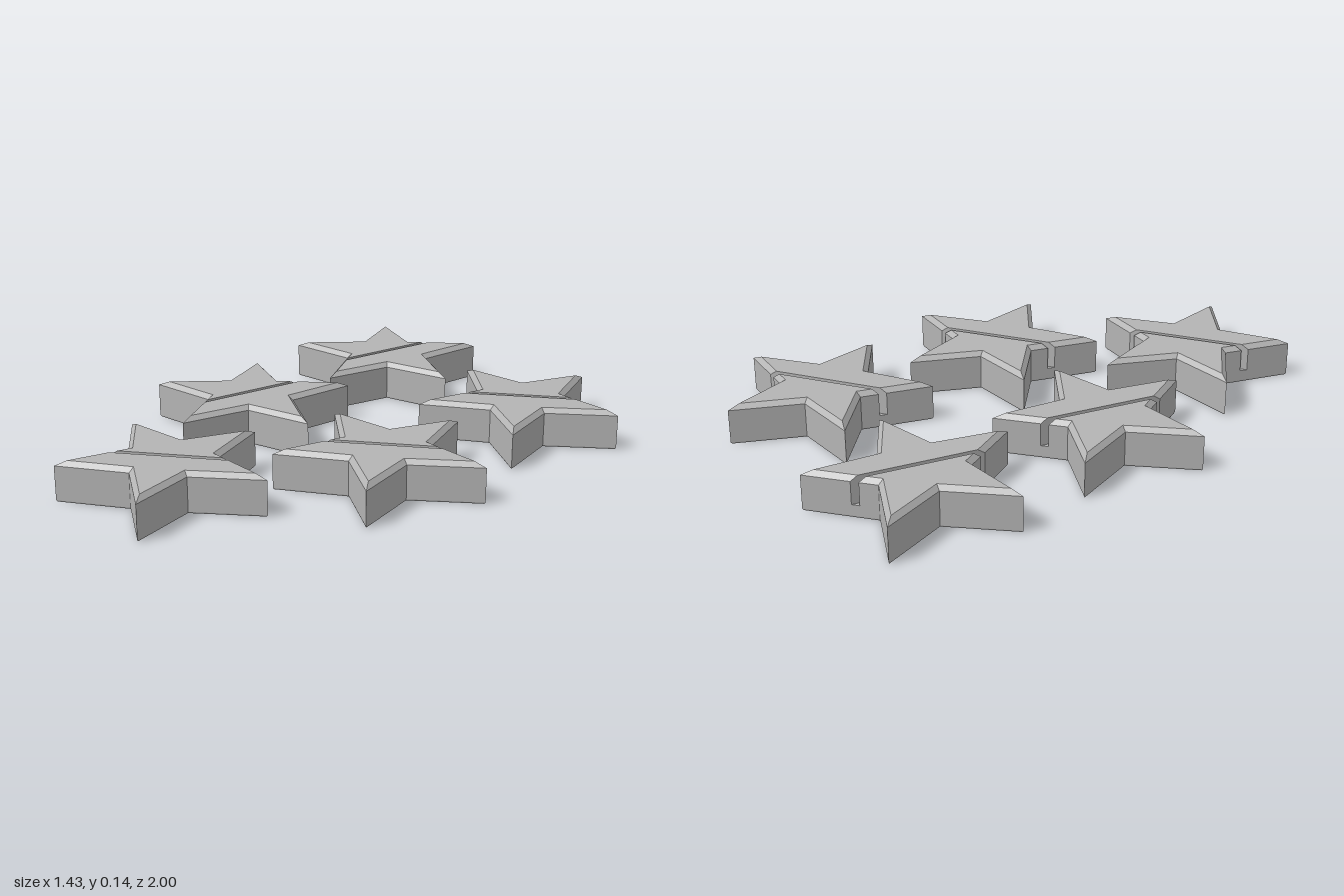
import * as THREE from 'three';

const R = 0.379, r = 0.166;            // tip and inner radius of each star
const H = 0.145, SHOULDER = 0.128;     // top and start of the top chamfer
const FLOOR = 0.045, W = 0.009;        // groove floor height and half width
const TOP_SCALE = 0.884;               // shrink of the chamfered top face

const rad = THREE.MathUtils.degToRad;

// Corner of the star at an angle: even steps of 36 degrees are tips, odd are inner corners
function corner(step, k) {
  const radius = k * (step % 2 === 0 ? R : r), a = rad(36 * step);
  return new THREE.Vector2(radius * Math.cos(a), radius * Math.sin(a));
}

// Point where the groove wall at u = s meets the outline
function cut(s, k, side) {
  const tip = corner(2, k), inner = corner(3, k);
  const p = tip.clone().lerp(inner, (s - tip.x) / (inner.x - tip.x));
  return new THREE.Vector2(s, p.y * side);
}

const steps = (from, to, k) =>
  Array.from({ length: to - from + 1 }, (_, i) => corner(from + i, k));

// Outlines, counter-clockwise from above, at scale k
const whole = (k) => steps(0, 9, k);
const tipHalf = (k) => [cut(W, k, -1), ...steps(-2, 2, k), cut(W, k, 1)];
const backHalf = (k) => [cut(-W, k, 1), ...steps(3, 7, k), cut(-W, k, -1)];
const strip = (k) => [cut(W, k, 1), cut(-W, k, 1), cut(-W, k, -1), cut(W, k, -1)];

// Flat-faced loft of an outline through [height, scale] levels with optional caps
function loft(outline, levels, bottomCap, topCap) {
  const pos = [];
  const rings = levels.map(([y, k]) => outline(k).map((p) => [p.x, y, -p.y]));
  for (let l = 0; l + 1 < rings.length; l++) {
    const a = rings[l], b = rings[l + 1];
    for (let i = 0; i < a.length; i++) {
      const j = (i + 1) % a.length;
      pos.push(...a[i], ...a[j], ...b[j], ...a[i], ...b[j], ...b[i]);
    }
  }
  const cap = (level, ring, flip) => {
    for (const [i, j, k] of THREE.ShapeUtils.triangulateShape(outline(level[1]), [])) {
      if (flip) pos.push(...ring[i], ...ring[k], ...ring[j]);
      else pos.push(...ring[i], ...ring[j], ...ring[k]);
    }
  };
  if (bottomCap) cap(levels[0], rings[0], true);
  if (topCap) cap(levels.at(-1), rings.at(-1), false);
  const g = new THREE.BufferGeometry();
  g.setAttribute('position', new THREE.Float32BufferAttribute(pos, 3));
  g.computeVertexNormals();
  return g;
}

export function createModel() {
  const grey = new THREE.MeshStandardMaterial({ color: 0xb4b4b4 });
  grey.name = 'plainGrey';

  const upper = [[FLOOR, 1], [SHOULDER, 1], [H, TOP_SCALE]];
  const parts = {
    starBase: loft(whole, [[0, 0.985], [0.005, 1], [FLOOR, 1]], true, false),
    grooveFloor: loft(strip, [[FLOOR, 1]], false, true),
    starTipHalf: loft(tipHalf, upper, false, true),
    starBackHalf: loft(backHalf, upper, false, true),
  };

  // Five stars: x, z and turn; two are turned an extra 45 degrees
  const layout = [
    [0.352, -0.621, -54], [0.352, 0.101, -54], [-0.07, 0.69, -54],
    [-0.375, -0.662, -9], [-0.375, 0.062, -9],
  ];

  const model = new THREE.Group();
  model.name = 'grooveStars';
  layout.forEach(([x, z, turn], i) => {
    const star = new THREE.Group();
    star.name = `star${i + 1}`;
    for (const [name, geometry] of Object.entries(parts)) {
      const mesh = new THREE.Mesh(geometry, grey);
      mesh.name = name;
      star.add(mesh);
    }
    star.position.set(x, 0, z);
    star.rotation.y = rad(turn);
    model.add(star);
  });
  return model;
}
